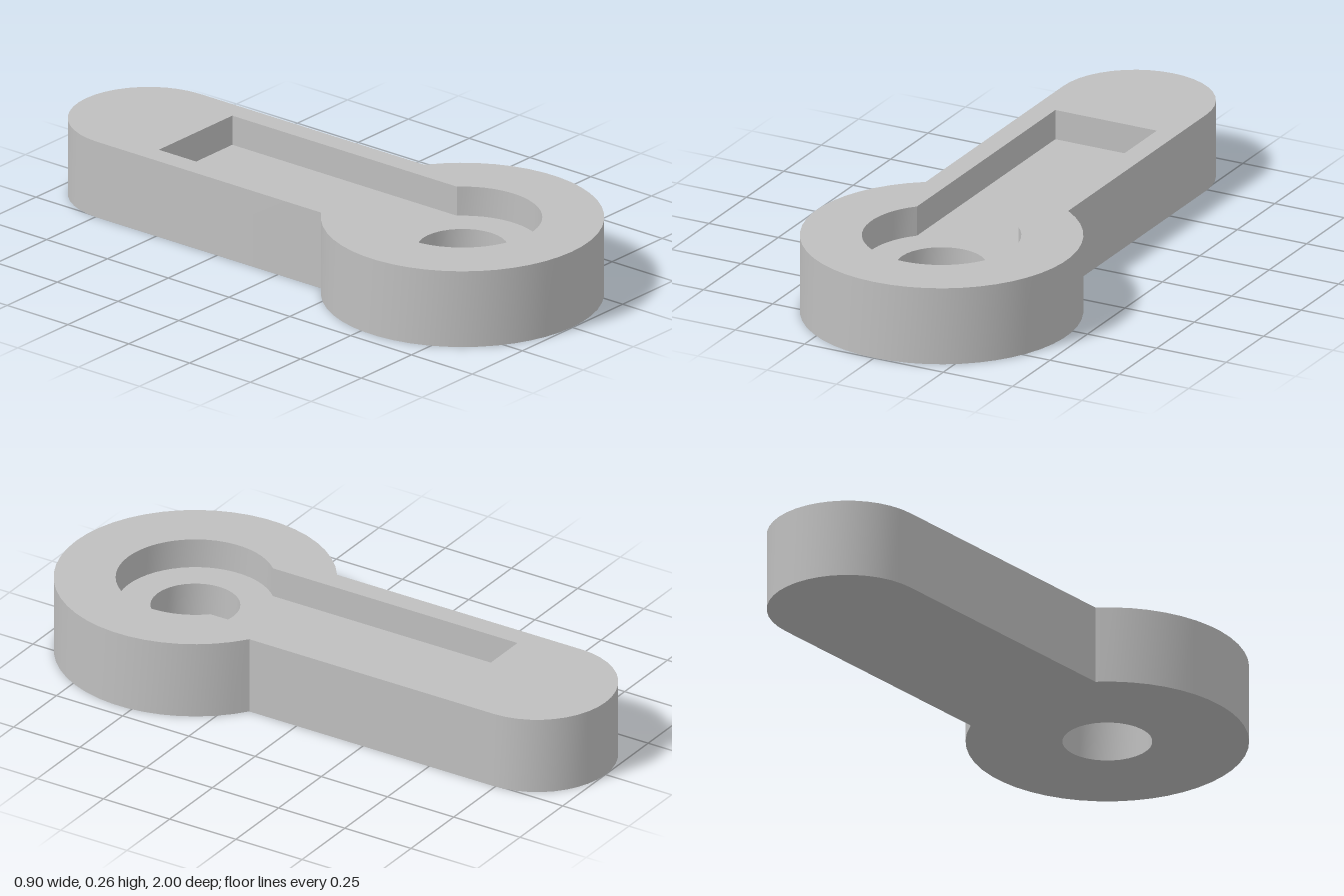
import * as THREE from 'three';
import { toCreasedNormals } from 'three/addons/utils/BufferGeometryUtils.js';

const HEIGHT = 0.26;   // full thickness
const FLOOR = 0.16;    // level of the recess floor
const HEAD_Z = 0.548;  // centre of the round head

// Points on an arc, in plan coordinates (x, -z)
function arc(cx, cy, r, from, to, steps) {
  return Array.from({ length: steps + 1 }, (_, i) => {
    const a = from + ((to - from) * i) / steps;
    return new THREE.Vector2(cx + r * Math.cos(a), cy + r * Math.sin(a));
  });
}

// Counter-clockwise keyhole outline: round head plus a straight arm of half width w
function keyhole(r, w, tip, rounded) {
  const a = Math.acos(w / r);
  const head = arc(0, -HEAD_Z, r, Math.PI - a, Math.PI * 2 + a, 40);
  const end = rounded
    ? arc(0, tip - w, w, 0, Math.PI, 20)
    : [new THREE.Vector2(w, tip), new THREE.Vector2(-w, tip)];
  return [...head, ...end];
}

// Horizontal face of an outline with one opening
function cap(outline, opening, y, down = false) {
  const shape = new THREE.Shape(outline);
  shape.holes.push(new THREE.Path(opening));
  const geo = new THREE.ShapeGeometry(shape).rotateX(-Math.PI / 2);
  if (down) geo.rotateZ(Math.PI); // the plan is symmetric in x
  return geo.translate(0, y, 0);
}

// Vertical wall along a closed outline, facing outward or inward
function wall(outline, y0, y1, inward = false) {
  const pts = inward ? [...outline].reverse() : outline;
  const pos = [];
  pts.forEach((p, i) => {
    const q = pts[(i + 1) % pts.length];
    pos.push(p.x, y0, -p.y, q.x, y0, -q.y, q.x, y1, -q.y);
    pos.push(p.x, y0, -p.y, q.x, y1, -q.y, p.x, y1, -p.y);
  });
  const geo = new THREE.BufferGeometry();
  geo.setAttribute('position', new THREE.Float32BufferAttribute(pos, 3));
  return toCreasedNormals(geo, 0.5);
}

export function createModel() {
  const grey = new THREE.MeshStandardMaterial({ color: 0xbfbfbf });
  grey.name = 'grey';
  const group = new THREE.Group();
  group.name = 'recessedLever';
  const add = (name, geo) => {
    const mesh = new THREE.Mesh(geo, grey);
    mesh.name = name;
    group.add(mesh);
  };

  const body = keyhole(0.45, 0.257, 1, true);
  const recess = keyhole(0.253, 0.183, 0.55, false);
  const bore = arc(0, -HEAD_Z, 0.143, 0, Math.PI * 2, 32).slice(0, -1);

  // Outer body
  add('outerWall', wall(body, 0, HEIGHT));
  add('topRim', cap(body, recess, HEIGHT));
  add('underside', cap(body, bore, 0, true));

  // Keyhole recess and through bore
  add('recessWall', wall(recess, FLOOR, HEIGHT, true));
  add('recessFloor', cap(recess, bore, FLOOR));
  add('boreWall', wall(bore, 0, FLOOR, true));

  return group;
}
